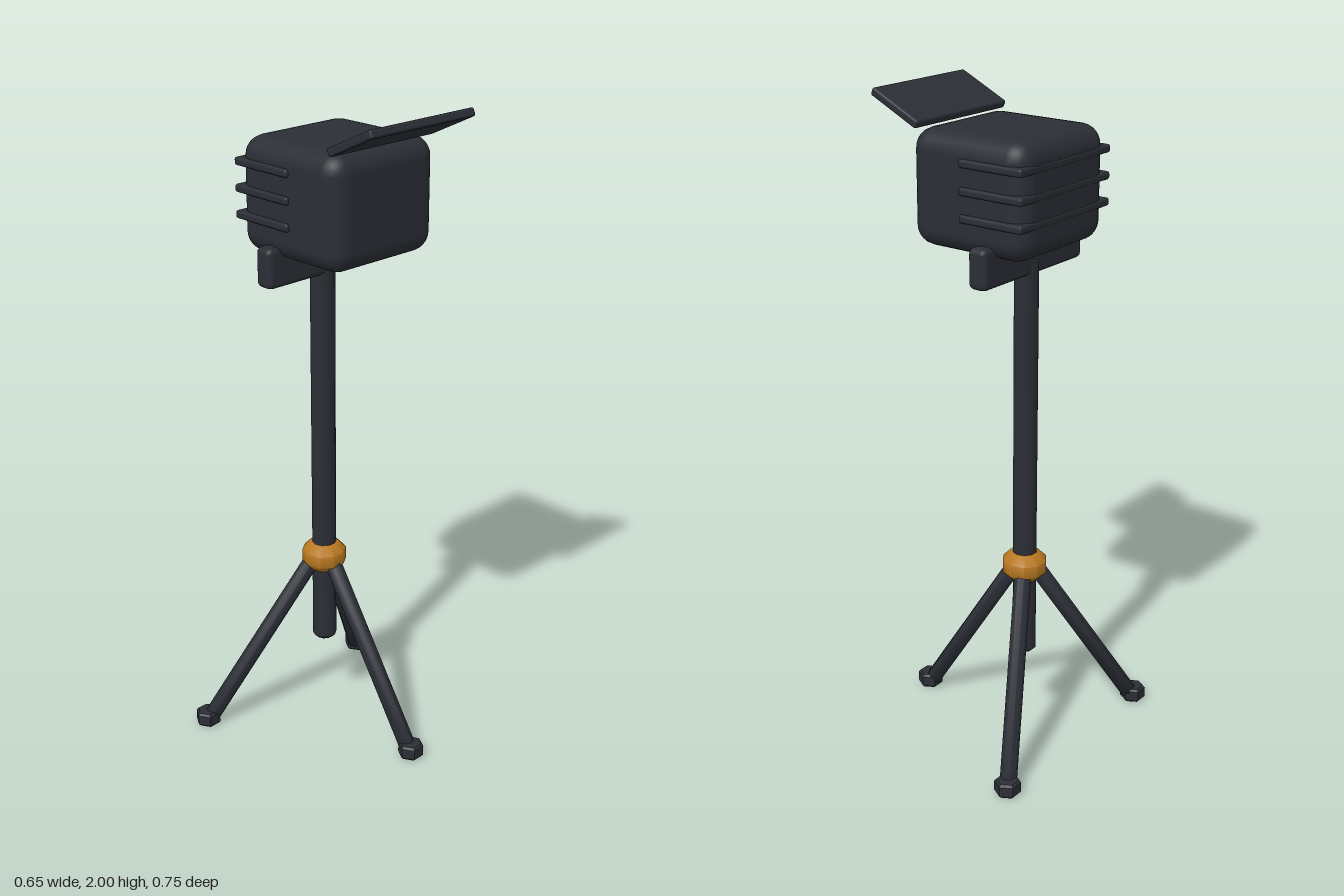
import * as THREE from 'three';
import { RoundedBoxGeometry } from 'three/addons/geometries/RoundedBoxGeometry.js';
import { toCreasedNormals } from 'three/addons/utils/BufferGeometryUtils.js';

const POLE_X = -0.1;

export function createModel() {
  const model = new THREE.Group();
  const dark = new THREE.MeshStandardMaterial({ color: 0x2b2e36 });
  const amber = new THREE.MeshStandardMaterial({ color: 0xb87820 });

  function add(name, geometry, material, x, y, z, parent = model) {
    const mesh = new THREE.Mesh(geometry, material);
    mesh.name = name;
    mesh.position.set(x, y, z);
    parent.add(mesh);
    return mesh;
  }
  const box = (w, h, d, r, segments = 2) => new RoundedBoxGeometry(w, h, d, segments, r);

  // Solid of revolution with small bevels at both ends, centred on the origin
  function bevelled(radius, height, bevel, sides, crease) {
    const h = height / 2;
    const profile = [[0, -h], [radius - bevel, -h], [radius, -h + bevel],
      [radius, h - bevel], [radius - bevel, h], [0, h]].map(([r, y]) => new THREE.Vector2(r, y));
    return toCreasedNormals(new THREE.LatheGeometry(profile, sides), crease);
  }

  // Lamp head with the cooling plates wrapping its rear half
  add('lampHead', box(0.4, 0.335, 0.4, 0.06, 3), dark, -0.035, 1.7375, 0);
  for (const y of [1.677, 1.753, 1.83]) {
    add('coolingFin', box(0.216, 0.024, 0.42, 0.008), dark, -0.129, y, 0);
  }

  // Tilted visor above the front of the lamp
  const visor = add('visor', box(0.18, 0.025, 0.4, 0.007), dark, 0.2125, 1.951, 0);
  visor.rotation.z = THREE.MathUtils.degToRad(25.5);

  // Cross bracket and central pole
  add('bracket', box(0.062, 0.12, 0.464, 0.018), dark, POLE_X, 1.55, 0);
  add('pole', bevelled(0.0375, 1.27, 0.01, 10, 0.7), dark, POLE_X, 0.905, 0);

  // Collar that holds the legs
  add('collar', bevelled(0.069, 0.09, 0.026, 10, 0.9), amber, POLE_X, 0.565, 0);

  // Three splayed legs with hexagonal feet
  const up = new THREE.Vector3(0, 1, 0);
  for (let i = 0; i < 3; i++) {
    const angle = (i * Math.PI * 2) / 3;
    const at = (r, y) => new THREE.Vector3(POLE_X + r * Math.cos(angle), y, r * Math.sin(angle));
    const top = at(0.04, 0.545), bottom = at(0.375, 0.025);
    const span = top.clone().sub(bottom);
    const middle = top.clone().add(bottom).multiplyScalar(0.5);
    const legGroup = new THREE.Group();
    legGroup.name = 'tripodLeg';
    model.add(legGroup);
    const leg = add('leg', bevelled(0.026, span.length(), 0.006, 8, 0.8), dark,
      middle.x, middle.y, middle.z, legGroup);
    leg.quaternion.setFromUnitVectors(up, span.normalize());
    const foot = at(0.388, 0.023);
    add('foot', bevelled(0.04, 0.046, 0.007, 6, 0.6), dark, foot.x, foot.y, foot.z, legGroup);
  }
  return model;
}
